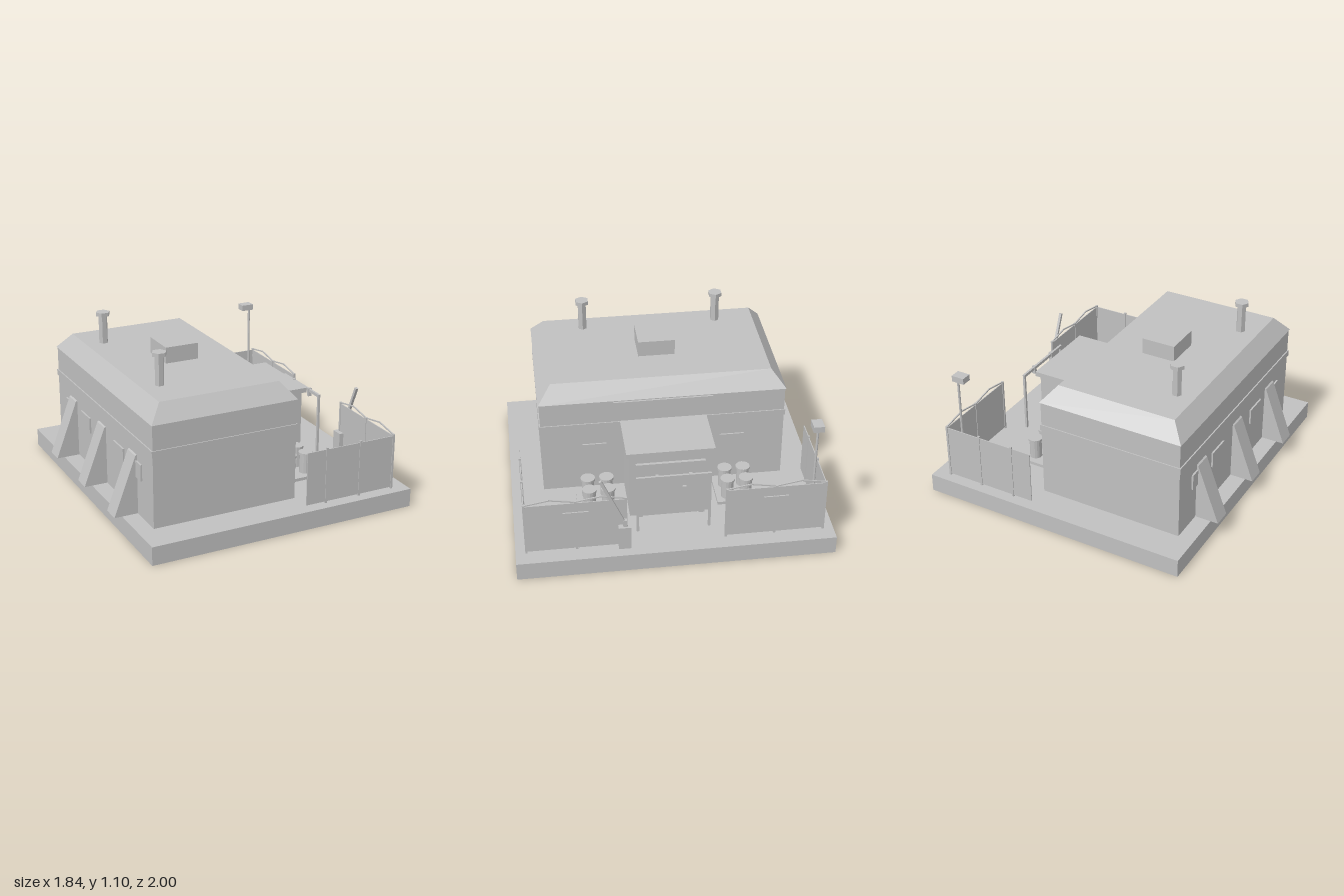
import * as THREE from 'three';

export function createModel() {
  const model = new THREE.Group();
  const grey = new THREE.MeshStandardMaterial({ color: 0xc0c0c0, flatShading: true });
  grey.name = 'concrete grey';

  const add = (name, geometry, parent = model) => {
    const mesh = new THREE.Mesh(geometry, grey);
    mesh.name = name;
    parent.add(mesh);
    return mesh;
  };
  // box given by its limits on each axis
  const box = (name, x0, x1, y0, y1, z0, z1, parent) => {
    const mesh = add(name, new THREE.BoxGeometry(x1 - x0, y1 - y0, z1 - z0), parent);
    mesh.position.set((x0 + x1) / 2, (y0 + y1) / 2, (z0 + z1) / 2);
    return mesh;
  };
  const cylinder = (name, r, x, y0, y1, z, sides, parent) => {
    const mesh = add(name, new THREE.CylinderGeometry(r, r, y1 - y0, sides), parent);
    mesh.position.set(x, (y0 + y1) / 2, z);
    return mesh;
  };
  // square rod between two points
  const rod = (name, a, b, width, parent) => {
    const from = new THREE.Vector3(...a), to = new THREE.Vector3(...b);
    const mesh = add(name, new THREE.BoxGeometry(width, width, from.distanceTo(to)), parent);
    mesh.position.copy(from).add(to).multiplyScalar(0.5);
    mesh.lookAt(to);
    return mesh;
  };

  // ground slab and main block
  box('baseSlab', -0.87, 0.92, 0, 0.12, -1, 1);
  box('bunkerBody', -0.765, 0.193, 0.12, 0.78, -0.79, 0.79);
  box('wallBand', -0.773, 0.2, 0.58, 0.62, -0.797, 0.797);

  // roof with sloped edges: pull the top corners of a box inward
  const roofGeo = new THREE.BoxGeometry(0.97, 0.105, 1.594);
  const p = roofGeo.attributes.position;
  for (let i = 0; i < p.count; i++) {
    if (p.getY(i) > 0) p.setXYZ(i, Math.sign(p.getX(i)) * 0.397, p.getY(i), Math.sign(p.getZ(i)) * 0.71);
  }
  roofGeo.computeVertexNormals();
  add('roof', roofGeo).position.set(-0.286, 0.8325, 0);
  box('roofHatch', -0.37, -0.147, 0.88, 0.99, -0.12, 0.12);

  for (const z of [-0.45, 0.45]) {
    cylinder('chimney', 0.03, -0.563, 0.88, 1.07, z, 6).rotation.y = Math.PI / 6;
    cylinder('chimneyCap', 0.047, -0.563, 1.07, 1.095, z, 6).rotation.y = Math.PI / 6;
  }

  // sloping buttresses and vents on the rear wall
  const wedge = new THREE.Shape([
    new THREE.Vector2(-0.92, 0.12), new THREE.Vector2(-0.76, 0.12),
    new THREE.Vector2(-0.76, 0.51), new THREE.Vector2(-0.775, 0.5),
  ]);
  for (const z of [-0.505, 0, 0.495]) {
    const geo = new THREE.ExtrudeGeometry(wedge, { depth: 0.118, bevelEnabled: false });
    add('buttress', geo).position.z = z - 0.059;
  }
  for (const z of [-0.55, -0.28, 0.28, 0.55]) {
    box('rearVent', -0.776, -0.76, 0.365, 0.47, z - 0.08, z + 0.08);
  }

  // entrance wall: long plate, shutters, porch and door
  box('wallPlate', 0.19, 0.205, 0.66, 0.77, -0.32, 0.32);
  for (const z of [-0.45, 0.45]) box('shutter', 0.19, 0.203, 0.29, 0.46, z - 0.08, z + 0.08);
  box('porch', 0.19, 0.54, 0.12, 0.59, -0.26, 0.26);
  box('porchRoof', 0.19, 0.565, 0.59, 0.622, -0.28, 0.28);
  box('doorLintel', 0.535, 0.56, 0.5, 0.53, -0.22, 0.22);
  for (const s of [-1, 1]) {
    box('doorJamb', 0.535, 0.56, 0.12, 0.5, Math.min(s * 0.18, s * 0.22), Math.max(s * 0.18, s * 0.22));
  }
  box('door', 0.535, 0.55, 0.12, 0.5, -0.18, 0.18);
  box('doorHandle', 0.55, 0.565, 0.26, 0.34, -0.1, -0.075);

  // free-standing lamp frame before the door
  const frame = new THREE.Group();
  frame.name = 'entranceFrame';
  model.add(frame);
  box('frameBeam', 0.685, 0.7, 0.515, 0.535, -0.235, 0.235, frame);
  for (const s of [-1, 1]) {
    box('framePost', 0.685, 0.7, 0.12, 0.52, s * 0.227 - 0.008, s * 0.227 + 0.008, frame);
    box('frameLamp', 0.68, 0.705, 0.485, 0.54, s * 0.105 - 0.01, s * 0.105 + 0.01, frame);
  }

  for (const s of [-1, 1]) {
    // pallets with four drums
    box('pallet', 0.257, 0.5, 0.12, 0.14, s * 0.45 - 0.135, s * 0.45 + 0.135);
    for (const x of [0.315, 0.435]) for (const z of [0.387, 0.507]) {
      cylinder('drum', 0.04, x, 0.14, 0.265, s * z, 16);
      cylinder('drumLid', 0.047, x, 0.265, 0.28, s * z, 16);
    }

    // corner fence
    const fence = new THREE.Group();
    fence.name = 'fence';
    model.add(fence);
    box('sideFencePanel', 0.195, 0.815, 0.13, 0.478, s * 0.932 - 0.003, s * 0.932 + 0.003, fence);
    box('frontFencePanel', 0.812, 0.818, 0.13, 0.478, s * 0.62 - 0.312, s * 0.62 + 0.312, fence);
    const posts = [[0.333, 0.932], [0.573, 0.932], [0.815, 0.932], [0.815, 0.62], [0.815, 0.312]];
    for (const [x, z] of posts) {
      box('fencePost', x - 0.007, x + 0.007, 0.12, 0.49, s * z - 0.007, s * z + 0.007, fence);
    }
    // raised wire along the front top
    const wire = [[0.932, 0.485], [0.775, 0.512], [0.62, 0.485], [0.465, 0.512], [0.312, 0.485]];
    for (let i = 0; i < 4; i++) {
      rod('fenceWire', [0.815, wire[i][1], s * wire[i][0]], [0.815, wire[i + 1][1], s * wire[i + 1][0]], 0.008, fence);
    }
    box('fenceSign', 0.82, 0.829, 0.26, 0.413, s * 0.62 - 0.078, s * 0.62 + 0.078, fence);
  }

  // raised barrier at the gap in the fence
  box('barrierPedestal', 0.782, 0.856, 0.12, 0.283, 0.285, 0.362);
  rod('barrierArm', [0.832, 0.27, 0.308], [0.832, 0.637, 0.465], 0.018);
  box('barrierPivot', 0.815, 0.845, 0.283, 0.33, 0.308, 0.332);

  // floodlight mast
  cylinder('mast', 0.008, 0.745, 0.12, 0.825, -0.87, 8);
  box('floodlight', 0.677, 0.763, 0.823, 0.863, -0.907, -0.84);

  return model;
}
